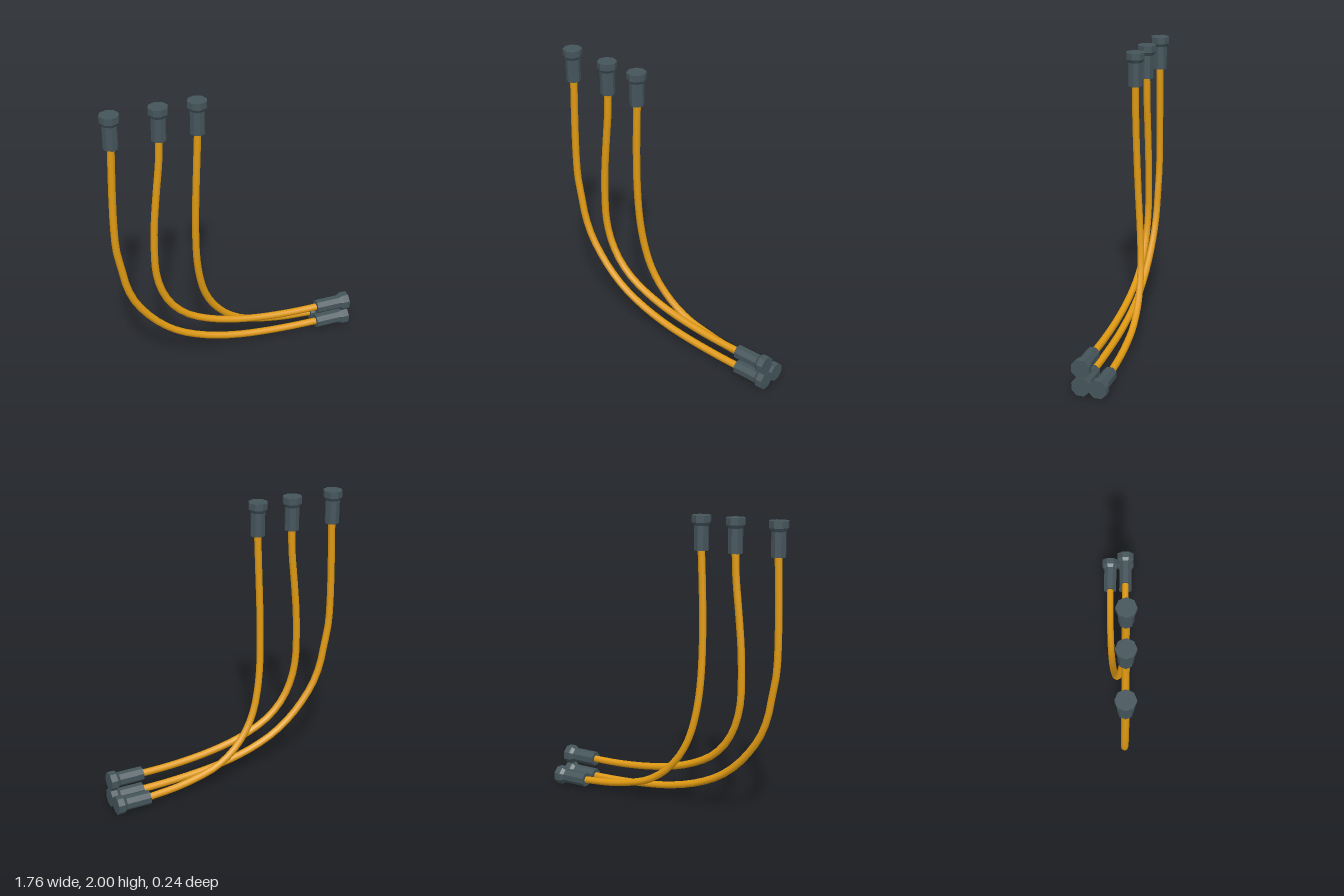
import * as THREE from 'three';

const cableMat = new THREE.MeshStandardMaterial({ color: 0xe09a12 });
cableMat.name = 'orange cable';
const plugMat = new THREE.MeshStandardMaterial({ color: 0x44545a, flatShading: true });
plugMat.name = 'slate plug';

// Eight-sided plug: sleeve, short flare, wide collar. It runs from y = 0 up.
function makePlug(length) {
  const profile = [
    [0, 0], [0.05, 0], [0.05, length - 0.068], [0.066, length - 0.045],
    [0.066, length], [0, length],
  ].map(([r, y]) => new THREE.Vector2(r, y));
  return new THREE.Mesh(new THREE.LatheGeometry(profile, 8), plugMat);
}

// Paths run from the upright plug down and round to the sideways plug.
const Z = 0.051;
const cables = [
  { name: 'outerCable', points: [
    [-0.815, 1.77], [-0.825, 1.4], [-0.826, 1.18], [-0.818, 1.01], [-0.79, 0.86], [-0.76, 0.71],
    [-0.707, 0.575], [-0.62, 0.447], [-0.52, 0.34], [-0.4, 0.25], [-0.26, 0.183], [-0.11, 0.135],
    [0.06, 0.1], [0.27, 0.077], [0.46, 0.066], [0.64, 0.062]] },
  { name: 'middleCable', points: [
    [-0.503, 1.77], [-0.51, 1.61], [-0.532, 1.4], [-0.554, 1.16], [-0.561, 0.945], [-0.554, 0.77],
    [-0.516, 0.617], [-0.448, 0.49], [-0.342, 0.384], [-0.204, 0.31], [-0.045, 0.257],
    [0.14, 0.22], [0.326, 0.199], [0.485, 0.19], [0.64, 0.188]] },
  { name: 'innerCable', points: [
    [-0.246, 1.77], [-0.257, 1.5, 0.05], [-0.265, 1.237, 0.044], [-0.265, 1, 0.034],
    [-0.257, 0.824, 0.022], [-0.236, 0.66, 0.008], [-0.199, 0.511, -0.007], [-0.146, 0.395, -0.02],
    [-0.077, 0.3, -0.032], [0.008, 0.22, -0.042], [0.125, 0.151, -0.051], [0.273, 0.109, -0.058],
    [0.43, 0.08, -0.062], [0.64, 0.062, -0.065]] },
];

export function createModel() {
  const model = new THREE.Group();
  for (const { name, points } of cables) {
    const group = new THREE.Group();
    group.name = name;
    const path = points.map(([x, y, z = Z]) => new THREE.Vector3(x, y, z));

    // Cable
    const curve = new THREE.CatmullRomCurve3(path);
    const tube = new THREE.Mesh(new THREE.TubeGeometry(curve, 32, 0.025, 8), cableMat);
    tube.name = 'cable';

    // Upright plug at the top
    const top = makePlug(0.23);
    top.name = 'topPlug';
    top.position.copy(path[0]);

    // Sideways plug at the other end, turned so that its flats face up and down
    const end = makePlug(0.242);
    end.name = 'sidePlug';
    end.geometry.rotateY(Math.PI / 8);
    end.rotation.z = -Math.PI / 2;
    end.position.copy(path[path.length - 1]).setX(0.635);

    group.add(tube, top, end);
    model.add(group);
  }
  return model;
}
